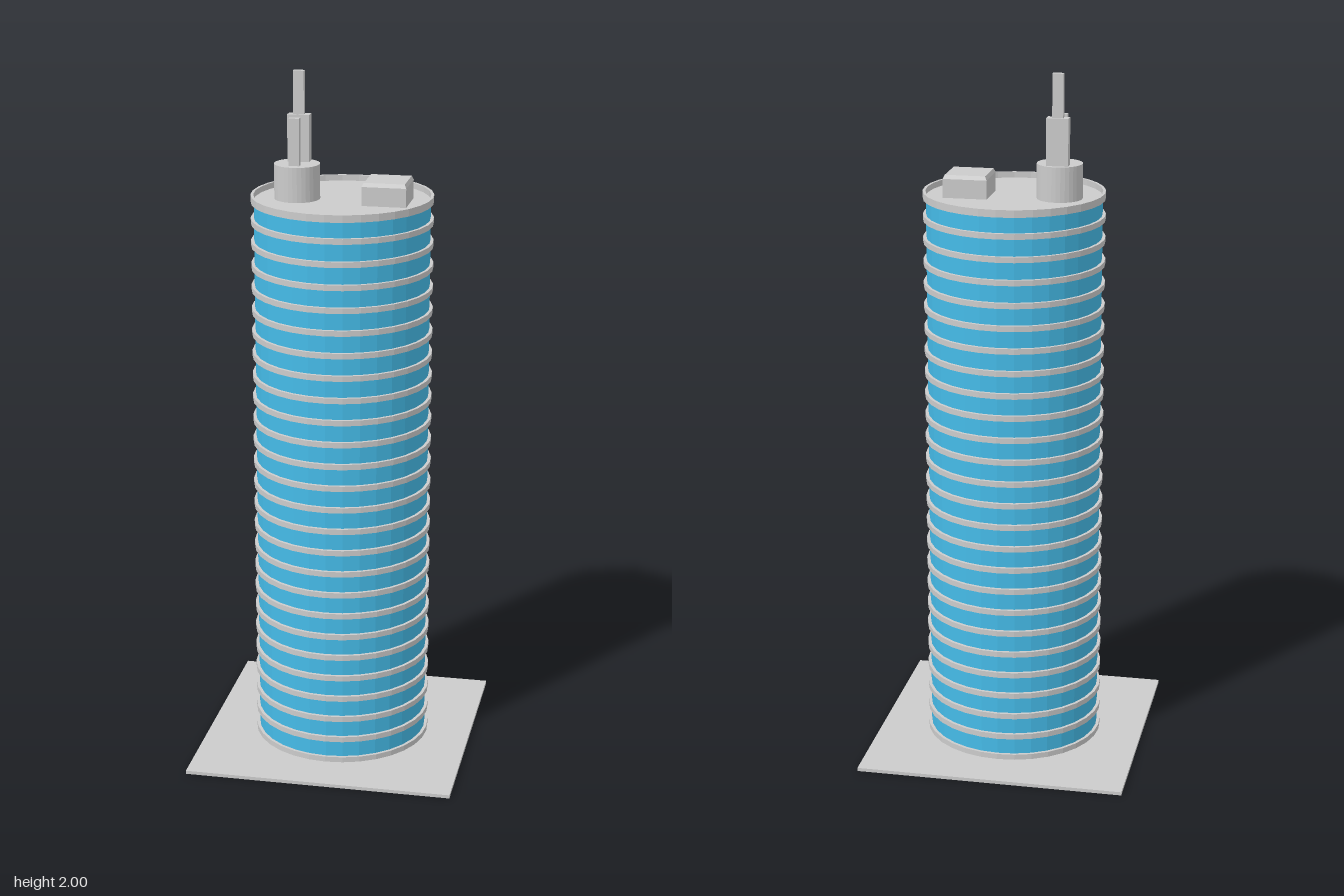
import * as THREE from 'three';

const SIDES = 32;
const FLOORS = 25;
const FLOOR_STEP = 0.0652;
const FIRST_BAND = 0.021;
const ROOF_Y = 1.643;

export function createModel() {
  const tower = new THREE.Group();
  tower.name = 'roundTower';
  const grey = new THREE.MeshStandardMaterial({ color: 0xcccccc, flatShading: true });
  const blue = new THREE.MeshStandardMaterial({ color: 0x45bbe8, flatShading: true });

  const add = (name, geometry, material = grey) => {
    const mesh = new THREE.Mesh(geometry, material);
    mesh.name = name;
    tower.add(mesh);
    return mesh;
  };
  // Box given by its limits on each axis
  const box = (name, [x0, x1], [y0, y1], [z0, z1]) => {
    const mesh = add(name, new THREE.BoxGeometry(x1 - x0, y1 - y0, z1 - z0));
    mesh.position.set((x0 + x1) / 2, (y0 + y1) / 2, (z0 + z1) / 2);
    return mesh;
  };
  // Upright cylinder given by its bottom and top
  const drum = (name, radius, y0, y1, x = 0, material = grey) => {
    const mesh = add(name, new THREE.CylinderGeometry(radius, radius, y1 - y0, SIDES), material);
    mesh.position.set(x, (y0 + y1) / 2, 0);
    return mesh;
  };

  // Ground slab and glazed shaft
  box('groundSlab', [-0.389, 0.389], [0, 0.01], [-0.389, 0.389]);
  drum('glassShaft', 0.25, 0.01, ROOF_Y - 0.004, 0, blue);

  // Floor bands
  for (let i = 0; i < FLOORS; i++) {
    const y = FIRST_BAND + i * FLOOR_STEP;
    drum('floorBand', 0.259, y - 0.008, y + 0.008);
  }

  // Roof slab with a thin raised rim, turned from one profile
  const rim = [[0.25, 1.639], [0.259, 1.639], [0.259, 1.66], [0.251, 1.66], [0.251, ROOF_Y], [0, ROOF_Y]];
  add('roofAndRim', new THREE.LatheGeometry(rim.map(([r, y]) => new THREE.Vector2(r, y)), SIDES));

  // Plant room with its top edge chamfered
  box('plantRoom', [0.067, 0.193], [ROOF_Y, 1.697], [-0.063, 0.063]);
  const lid = new THREE.BoxGeometry(0.126, 0.011, 0.126);
  const p = lid.attributes.position;
  for (let i = 0; i < p.count; i++) {
    if (p.getY(i) > 0) p.setXYZ(i, p.getX(i) * 0.92, p.getY(i), p.getZ(i) * 0.92);
  }
  add('plantRoomLid', lid).position.set(0.13, 1.7025, 0);

  // Mast base, with two posts joined by a strut and a tall antenna
  drum('mastBase', 0.065, ROOF_Y, 1.743, -0.13);
  box('mastBlock', [-0.162, -0.099], [1.743, 1.877], [-0.05, -0.019]);
  box('tallAntenna', [-0.146, -0.115], [1.877, 2], [-0.042, -0.025]);
  box('frontPost', [-0.146, -0.115], [1.743, 1.877], [0.023, 0.04]);
  box('strut', [-0.137, -0.124], [1.793, 1.825], [-0.019, 0.023]);

  return tower;
}
